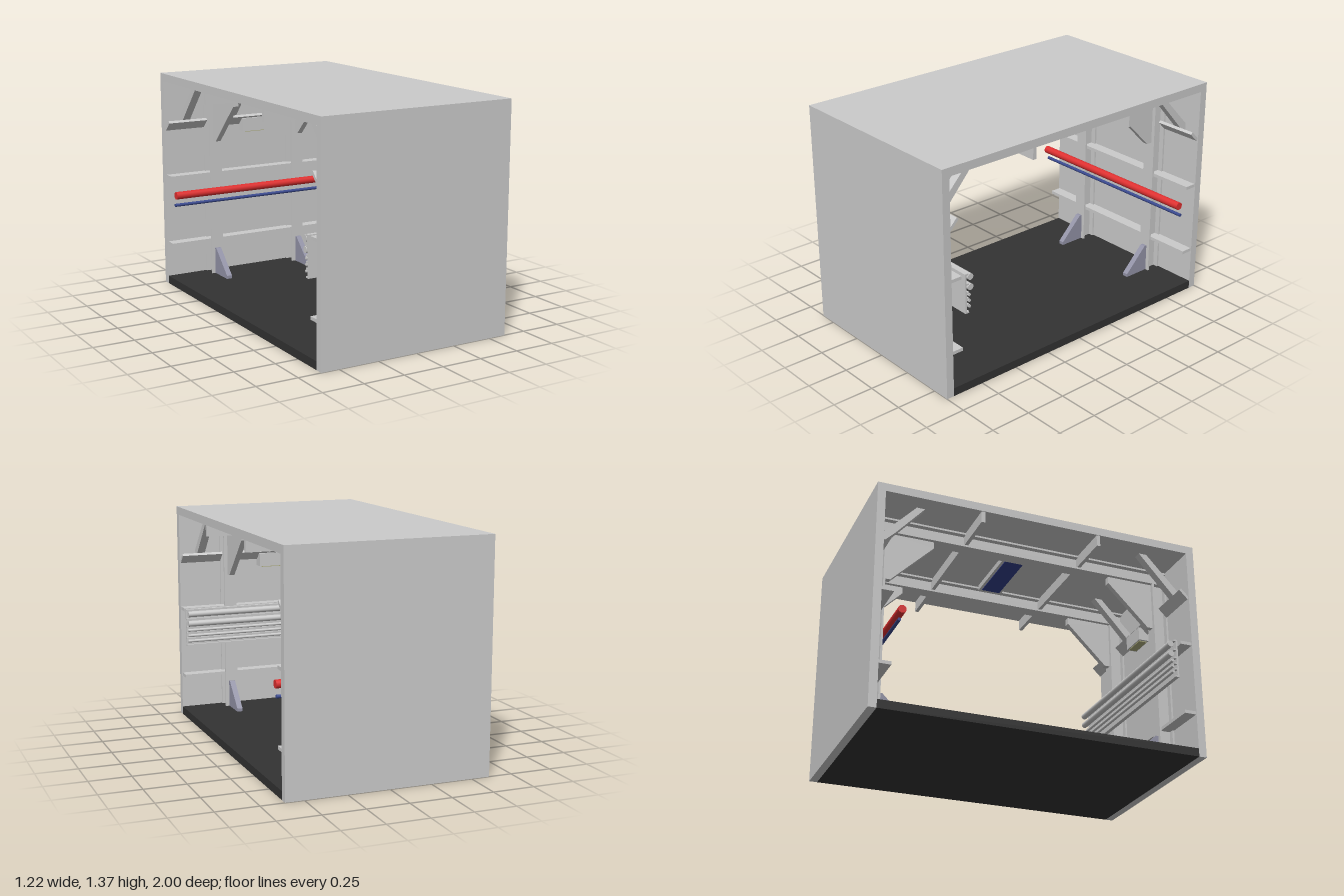
import * as THREE from 'three';

const material = (color) => new THREE.MeshStandardMaterial({ color });
const GREY = material(0xcccccc);
const DARK = material(0x333333);
const STEEL = material(0x9494a8);
const RED = material(0xe03030);
const BLUE = material(0x3a4a90);
const PANEL = material(0x33408c);
const LAMP = material(0xb0b080);

const LENGTH = 1.22; // along x, both ends open
const RIBS = [-0.3, 0.3];

function add(parent, name, geometry, mat = GREY) {
  const mesh = new THREE.Mesh(geometry, mat);
  mesh.name = name;
  parent.add(mesh);
  return mesh;
}

// Box given by its ranges on each axis
function box(parent, name, [x0, x1], [y0, y1], [z0, z1], mat) {
  const g = new THREE.BoxGeometry(x1 - x0, y1 - y0, z1 - z0);
  g.translate((x0 + x1) / 2, (y0 + y1) / 2, (z0 + z1) / 2);
  return add(parent, name, g, mat);
}

// Plate drawn in the (z, y) plane and given a thickness along x
function plate(parent, name, points, x, thickness, mat) {
  const shape = new THREE.Shape(points.map(([z, y]) => new THREE.Vector2(z, y)));
  const g = new THREE.ExtrudeGeometry(shape, { depth: thickness, bevelEnabled: false });
  g.translate(0, 0, -thickness / 2);
  g.rotateY(-Math.PI / 2);
  g.translate(x, 0, 0);
  return add(parent, name, g, mat);
}

// Pipe running the length of the corridor
function pipe(parent, name, y, z, radius, mat) {
  const g = new THREE.CylinderGeometry(radius, radius, 1.2, 20);
  g.rotateZ(Math.PI / 2);
  g.translate(0, y, z);
  return add(parent, name, g, mat);
}

// Wall with its columns, gussets, rails and braces, built on the +z side
function buildSide() {
  const side = new THREE.Group();
  box(side, 'wall', [-LENGTH / 2, LENGTH / 2], [0, 1.32], [0.952, 1]);

  for (const x of RIBS) {
    // I-section column
    box(side, 'columnInnerFlange', [x - 0.04, x + 0.04], [0.05, 1.228], [0.857, 0.869]);
    box(side, 'columnWeb', [x - 0.008, x + 0.008], [0.05, 1.228], [0.869, 0.94]);
    box(side, 'columnOuterFlange', [x - 0.04, x + 0.04], [0.05, 1.228], [0.94, 0.952]);

    plate(side, 'upperGusset',
      [[0.857, 1.228], [0.565, 1.228], [0.565, 1.187], [0.822, 0.93], [0.857, 0.93]], x, 0.035);
    plate(side, 'footGusset',
      [[0.857, 0.22], [0.84, 0.22], [0.69, 0.07], [0.69, 0.05], [0.857, 0.05]], x, 0.035, STEEL);
  }

  // Long wall rails
  for (const y of [0.27, 0.71]) {
    box(side, 'wallRail', [-0.605, 0.605], [y - 0.01, y + 0.01], [0.88, 0.952]);
  }

  // Diagonal braces from wall to ceiling
  for (const x of [-0.48, -0.15, 0.15, 0.48]) {
    plate(side, 'cornerBrace',
      [[0.952, 1.09], [0.952, 1.02], [0.685, 1.32], [0.735, 1.32]], x, 0.05);
  }

  // Sloping strips that carry the feet of the braces, one per bay
  for (const [x0, x1] of [[-0.605, -0.34], [-0.26, 0.26], [0.34, 0.605]]) {
    const strip = add(side, 'braceStrip', new THREE.BoxGeometry(x1 - x0, 0.018, 0.075));
    strip.position.set((x0 + x1) / 2, 1.04, 0.925);
    strip.rotation.x = Math.PI / 4;
  }

  // Wall lamp
  box(side, 'lampHousing', [-0.085, 0.085], [0.965, 1.05], [0.885, 0.952]);
  box(side, 'lampLens', [-0.07, 0.07], [0.96, 0.965], [0.893, 0.944], LAMP);
  return side;
}

export function createModel() {
  const model = new THREE.Group();
  model.name = 'corridorSection';

  box(model, 'floor', [-LENGTH / 2, LENGTH / 2], [0, 0.05], [-0.952, 0.952], DARK);
  box(model, 'roof', [-LENGTH / 2, LENGTH / 2], [1.32, 1.37], [-1, 1]);

  const front = buildSide();
  front.name = 'frontSide';
  const back = buildSide();
  back.name = 'backSide';
  back.rotation.y = Math.PI;
  model.add(front, back);

  // I-section ceiling beams
  for (const x of RIBS) {
    box(model, 'beamLowerFlange', [x - 0.04, x + 0.04], [1.228, 1.24], [-0.952, 0.952]);
    box(model, 'beamWeb', [x - 0.008, x + 0.008], [1.24, 1.308], [-0.952, 0.952]);
    box(model, 'beamUpperFlange', [x - 0.04, x + 0.04], [1.308, 1.32], [-0.952, 0.952]);
  }

  // Ceiling rails
  for (const z of [-0.365, 0.365]) {
    box(model, 'ceilingRail', [-0.605, 0.605], [1.25, 1.32], [z - 0.011, z + 0.011]);
  }

  // Ceiling light
  box(model, 'ceilingLightHousing', [-0.24, 0.24], [1.285, 1.32], [-0.075, 0.075]);
  box(model, 'ceilingLightPanel', [-0.22, 0.22], [1.28, 1.285], [-0.058, 0.058], PANEL);

  // Coloured pipes along the back side
  pipe(model, 'redPipe', 0.605, -0.828, 0.024, RED);
  pipe(model, 'bluePipe', 0.54, -0.843, 0.01, BLUE);

  // Pipe rack along the front side
  box(model, 'rackPlate', [-0.605, 0.605], [0.48, 0.72], [0.847, 0.857]);
  for (const y of [0.485, 0.53, 0.567, 0.603, 0.655, 0.715]) {
    box(model, 'rackLip', [-0.605, 0.605], [y - 0.005, y + 0.005], [0.832, 0.847]);
  }
  for (const y of [0.63, 0.692]) pipe(model, 'largePipe', y, 0.815, 0.019);
  for (const y of [0.515, 0.55, 0.585]) pipe(model, 'smallPipe', y, 0.824, 0.009);

  return model;
}
